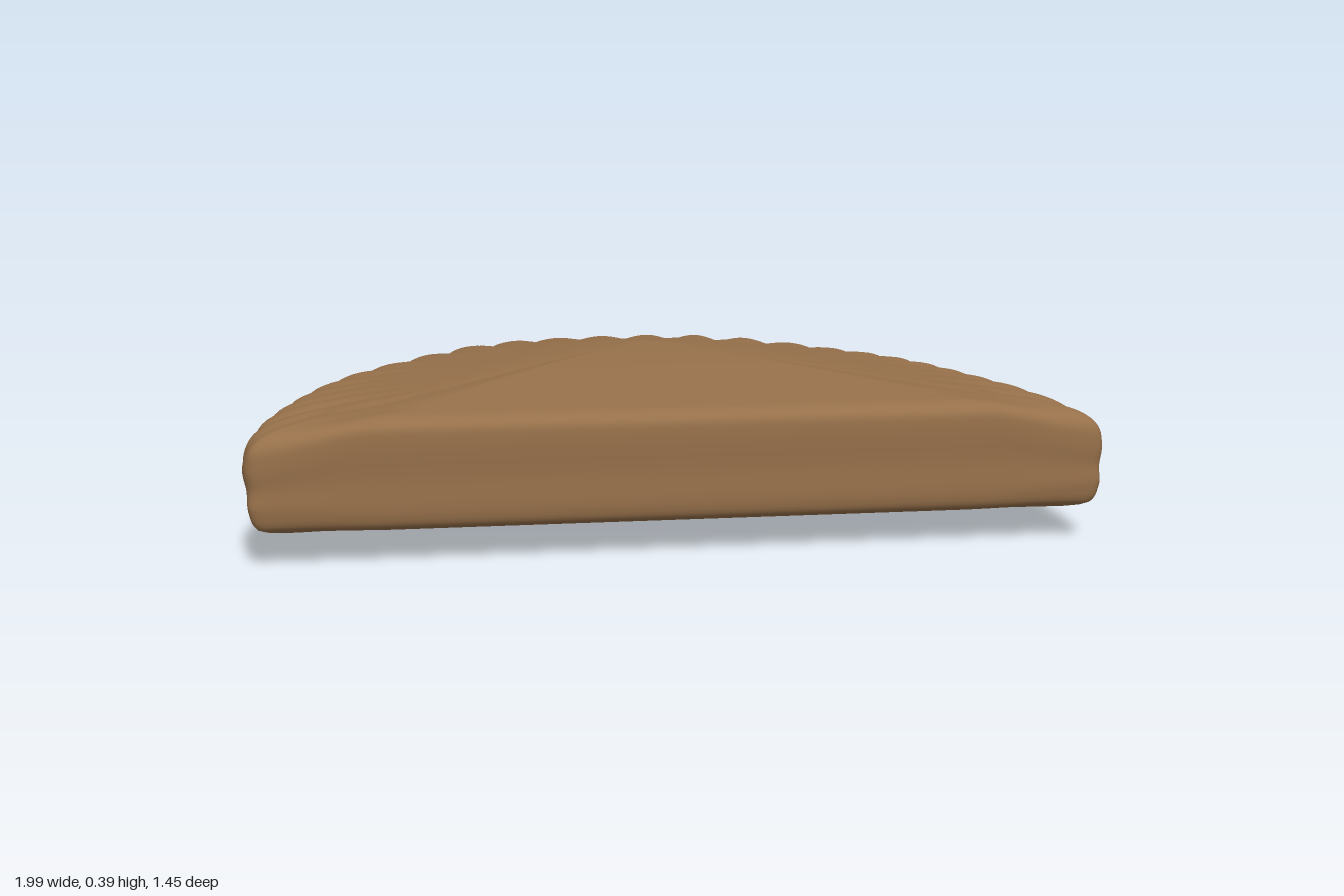
import * as THREE from 'three';

const AROUND = 600, ROWS = 56, MID = 0.21;
const smooth = THREE.MathUtils.smoothstep, lerp = THREE.MathUtils.lerp;

// Cross-sections from the top centre, over the rim, to the bottom centre: [fraction of radius, height]
const section = pts => new THREE.CatmullRomCurve3(pts.map(([t, y]) => new THREE.Vector3(t, y, 0)), false, 'centripetal');
const rimSection = section([
  [0, 0.392], [0.3, 0.365], [0.55, 0.338], [0.8, 0.312], [0.92, 0.29], [0.98, 0.262], [1, 0.225],
  [0.99, 0.185], [0.96, 0.145], [0.88, 0.108], [0.72, 0.08], [0.4, 0.04], [0, 0.003]]);
const cutSection = section([
  [0, 0.392], [0.3, 0.383], [0.55, 0.368], [0.85, 0.345], [0.96, 0.334], [0.993, 0.315], [1, 0.28],
  [0.997, 0.2], [1, 0.12], [0.985, 0.09], [0.85, 0.066], [0.5, 0.025], [0, 0.003]]);

// Plan outline: a scalloped arch closed by a straight cut at the front
function planOutline() {
  const half = [[0.992, 0.55], [0.97, 0.38], [0.925, 0.2], [0.855, 0], [0.755, -0.2], [0.615, -0.4],
    [0.53, -0.5], [0.41, -0.6], [0.24, -0.685]];
  const arch = [...half, [0, -0.722], ...half.map(([x, z]) => [-x, z]).reverse(), [-0.994, 0.66]];
  const shape = new THREE.Shape();
  shape.moveTo(0.994, 0.66);
  shape.splineThru(arch.map(([x, z]) => new THREE.Vector2(x, z)));
  shape.quadraticCurveTo(-0.996, 0.722, -0.96, 0.724);
  shape.lineTo(0.96, 0.724);
  shape.quadraticCurveTo(0.996, 0.722, 0.994, 0.66);
  return shape.getSpacedPoints(AROUND).slice(0, AROUND);
}

// Ribs that fan out towards the rim, each with a narrow groove beside it
function rib(x, z) {
  const dz = 0.4 - z, a = Math.atan2(x, dz), r = Math.hypot(x, dz);
  const phase = a * 21 + 0.5 * Math.sin(a * 5 + 1) + 0.9 * Math.sin(r * 5 + a * 2);
  const strength = smooth(r, 0.42 + 0.12 * Math.abs(Math.sin(a)), 0.95) * (0.8 + 0.2 * Math.sin(a * 9 + r * 6));
  return (Math.abs(Math.sin(phase)) * 2 - 1.27) * strength * (1 - smooth(z, 0.54, 0.66));
}

function shellGeometry() {
  const outline = planOutline(), cz = 0.01;
  const positions = [], index = [];
  for (let j = 0; j <= ROWS; j++) {
    const rim = rimSection.getPoint(j / ROWS), cut = cutSection.getPoint(j / ROWS);
    for (const p of outline) {
      const front = smooth(p.y, 0.66, 0.72);
      const flat = front * (1 - smooth(Math.abs(p.x), 0.7, 1));
      let t = lerp(rim.x, cut.x, front);
      const rimY = MID + (rim.y - MID) * (1 + 0.17 * p.x * p.x * t);
      let y = lerp(rimY, cut.y, flat);
      const bump = rib(p.x * t, cz + (p.y - cz) * t);
      y += 0.009 * bump * THREE.MathUtils.clamp((y - MID) * 14, -1, 1);
      t *= 1 + 0.008 * bump * smooth(t, 0.7, 1);
      positions.push(p.x * t, y, cz + (p.y - cz) * t);
    }
  }
  for (let j = 0; j < ROWS; j++) {
    for (let i = 0; i < AROUND; i++) {
      const n = (i + 1) % AROUND, a = j * AROUND + i, b = j * AROUND + n;
      if (j < ROWS - 1) index.push(a, a + AROUND, b + AROUND);
      if (j > 0) index.push(a, b + AROUND, b);
    }
  }
  const geometry = new THREE.BufferGeometry();
  geometry.setAttribute('position', new THREE.Float32BufferAttribute(positions, 3));
  geometry.setIndex(index);
  geometry.computeVertexNormals();
  return geometry;
}

export function createModel() {
  const brown = new THREE.MeshStandardMaterial({ color: 0x96704a });
  brown.name = 'warm brown';
  const group = new THREE.Group();
  group.name = 'ribbedHalfRound';
  const body = new THREE.Mesh(shellGeometry(), brown);
  body.name = 'ribbedBody';
  group.add(body);
  return group;
}
